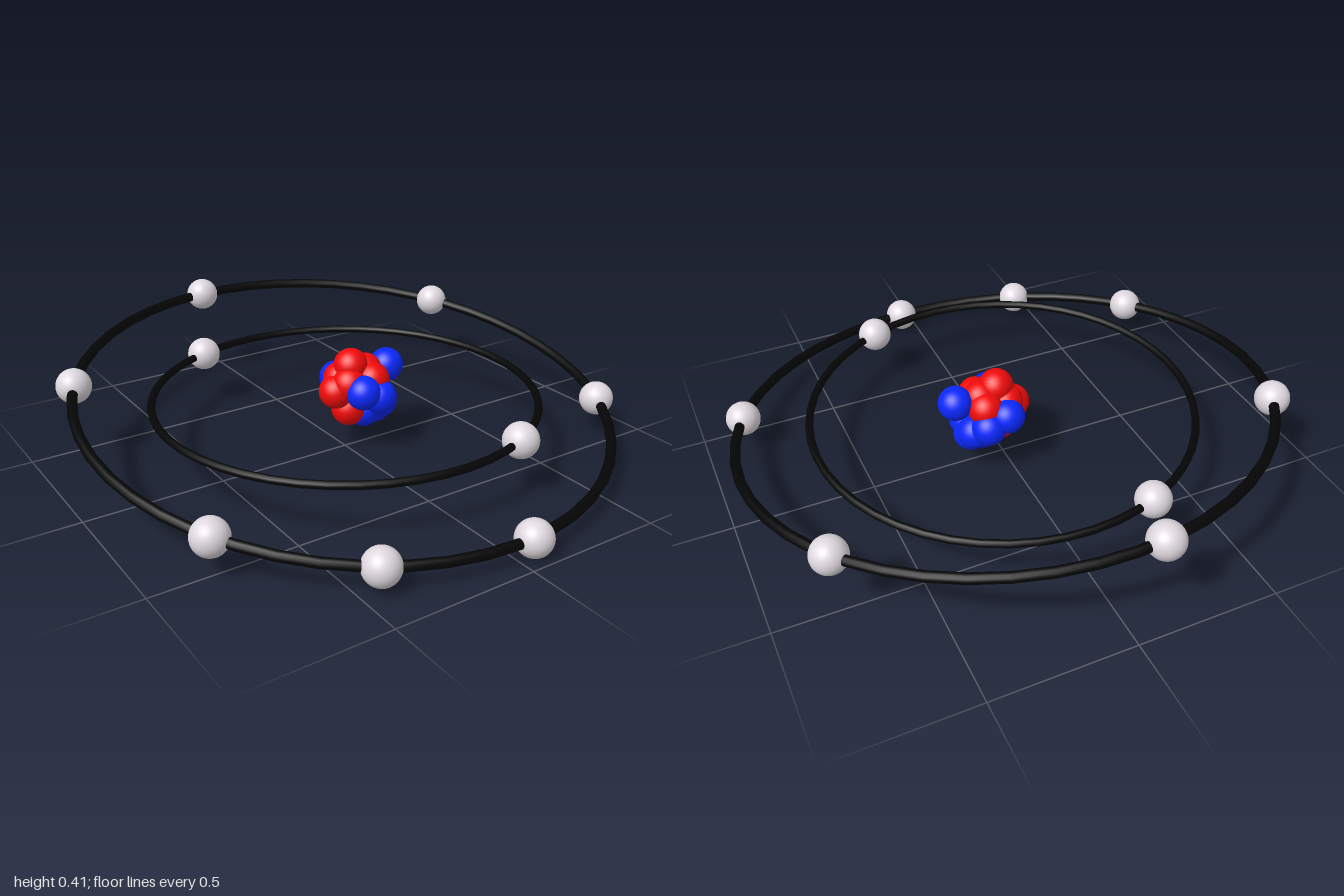
import * as THREE from 'three';

const CENTER_Y = 0.206;
const BALL = 0.062;

export function createModel() {
  const model = new THREE.Group();
  model.name = 'atom';

  const mat = (color) => new THREE.MeshStandardMaterial({ color });
  const black = mat(0x050505);
  const grey = mat(0xdfd9df);
  const red = mat(0xf20a0a);
  const blue = mat(0x0a28ff);
  const ballGeometry = new THREE.SphereGeometry(BALL, 32, 20);

  const addBall = (parent, name, material, x, y, z) => {
    const ball = new THREE.Mesh(ballGeometry, material);
    ball.name = name;
    ball.position.set(x, y, z);
    parent.add(ball);
  };

  // An orbit ring with electrons placed by angle (degrees, from +x towards +z)
  const addShell = (name, radius, tube, tilt, roll, angles) => {
    const shell = new THREE.Group();
    shell.name = name;
    const geometry = new THREE.TorusGeometry(radius, tube, 12, 48);
    geometry.rotateX(Math.PI / 2);
    const ring = new THREE.Mesh(geometry, black);
    ring.name = name + 'Ring';
    shell.add(ring);
    for (const degrees of angles) {
      const a = THREE.MathUtils.degToRad(degrees);
      addBall(shell, 'electron', grey, radius * Math.cos(a), 0, radius * Math.sin(a));
    }
    shell.position.set(0.001, CENTER_Y, -0.002);
    shell.rotation.set(tilt, 0, roll);
    model.add(shell);
  };
  addShell('innerShell', 0.687, 0.014, 0, 0, [67, 249.3]);
  addShell('outerShell', 0.95, 0.018, 0.15, -0.012, [26, 86.6, 117, 147.2, 207.5, 264.1, 326.6]);

  // Nucleus: balls on the middle plane, and pairs mirrored front to back
  const nucleus = new THREE.Group();
  nucleus.name = 'nucleus';
  const protons = [
    [-0.038, 0.228, 0], [0.025, 0.315, 0], [0.085, 0.285, 0],
    [0.015, 0.15, 0], [0.085, 0.265, 0.048], [0, 0.26, 0.03],
  ];
  const neutrons = [
    [0.18, 0.285, 0], [0.125, 0.135, 0], [0.08, 0.13, 0],
    [0.02, 0.24, 0.088], [0.09, 0.21, 0.088], [0.125, 0.17, 0.04],
  ];
  const addNucleons = (name, material, list) => {
    for (const [x, y, z] of list) {
      addBall(nucleus, name, material, x, y, z);
      if (z > 0) addBall(nucleus, name, material, x, y, -z);
    }
  };
  addNucleons('proton', red, protons);
  addNucleons('neutron', blue, neutrons);
  nucleus.position.set(0.003, -0.005, -0.005);
  model.add(nucleus);

  return model;
}
